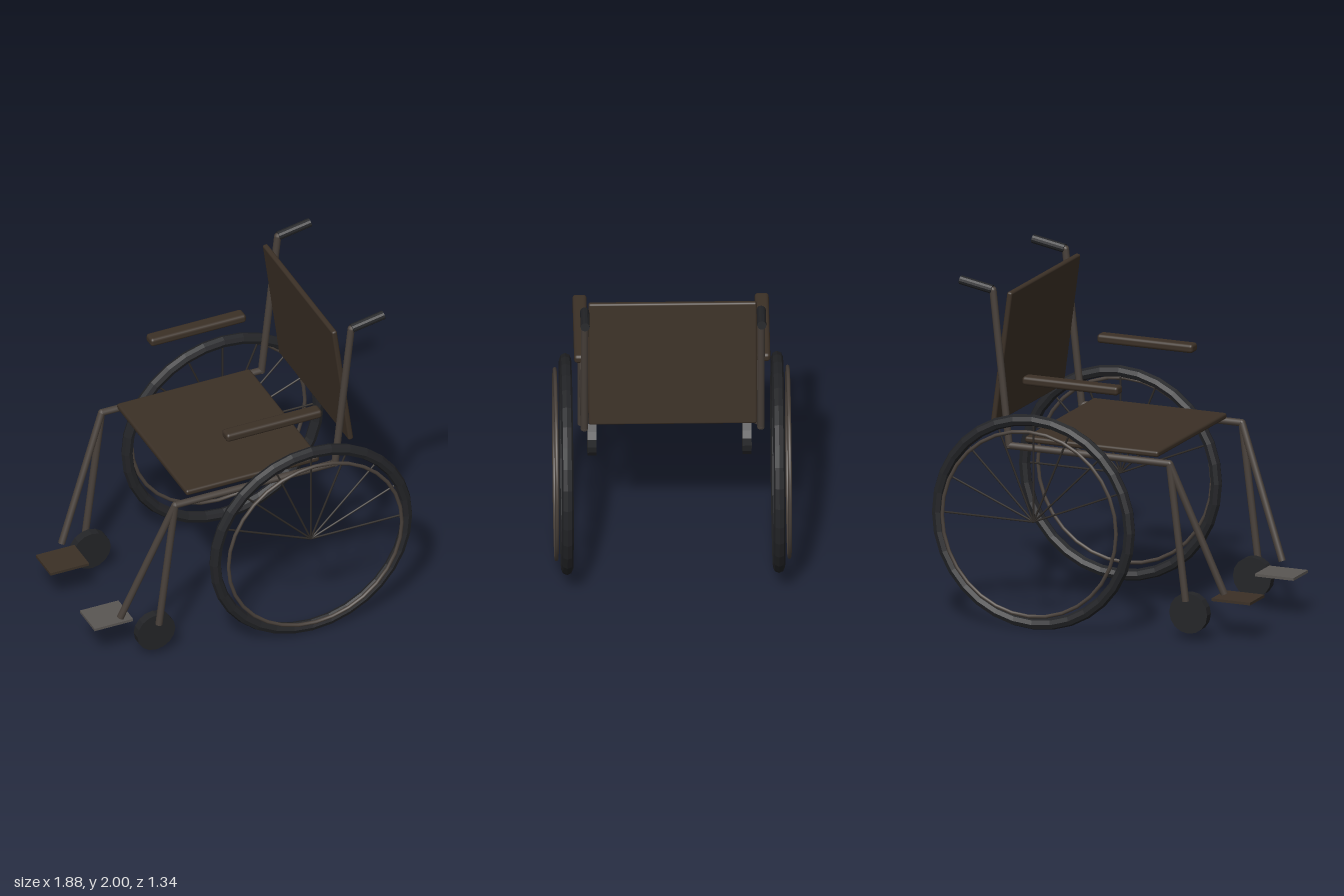
import * as THREE from 'three';
import { RoundedBoxGeometry } from 'three/addons/geometries/RoundedBoxGeometry.js';

const mat = (name, color, flatShading = false) => {
  const m = new THREE.MeshStandardMaterial({ color, flatShading });
  m.name = name;
  return m;
};

export function createModel() {
  const model = new THREE.Group();
  model.name = 'wheelchair';

  const rubber = mat('blackRubber', 0x232427, true);
  const fabric = mat('brownUpholstery', 0x3b3026);
  const steel = mat('agedSteel', 0x48403a);
  const plateSteel = mat('greySteel', 0x5a5653);
  const spokeSteel = mat('darkSpoke', 0x2e2a27);

  const add = (parent, name, geometry, material, x = 0, y = 0, z = 0) => {
    const mesh = new THREE.Mesh(geometry, material);
    mesh.name = name;
    mesh.position.set(x, y, z);
    parent.add(mesh);
    return mesh;
  };

  // Straight round bar between two points
  const bar = (parent, name, a, b, r, material, sides = 10) => {
    const p = new THREE.Vector3(...a), q = new THREE.Vector3(...b);
    const dir = q.clone().sub(p);
    const mesh = add(parent, name, new THREE.CylinderGeometry(r, r, dir.length(), sides), material);
    mesh.position.copy(p).add(q).multiplyScalar(0.5);
    mesh.quaternion.setFromUnitVectors(new THREE.Vector3(0, 1, 0), dir.normalize());
    return mesh;
  };

  // Seat and tilted backrest panels
  add(model, 'seat', new RoundedBoxGeometry(0.83, 0.036, 0.955, 2, 0.014), fabric, 0.007, 1.073, 0);
  const back = add(model, 'backrest', new RoundedBoxGeometry(0.032, 0.785, 0.955, 2, 0.012), fabric, 0.567, 1.535, 0);
  back.rotation.z = 0.133;

  for (const s of [1, -1]) {
    const side = new THREE.Group();
    side.name = s > 0 ? 'frontSide' : 'rearSide';
    model.add(side);
    const z = 0.5 * s;

    // Frame tubes
    bar(side, 'seatRail', [-0.49, 1.035, z], [0.51, 1.035, z], 0.021, steel);
    bar(side, 'backPost', [0.505, 1.025, z], [0.607, 1.935, z], 0.021, steel);
    bar(side, 'casterLeg', [-0.49, 1.035, z], [-0.59, 0.24, z], 0.021, steel);
    bar(side, 'footrestHanger', [-0.49, 1.035, z], [-0.785, 0.28, 0.4 * s], 0.021, steel);
    for (const [x, y] of [[-0.49, 1.035], [0.507, 1.035], [0.607, 1.935]])
      add(side, 'tubeElbow', new THREE.SphereGeometry(0.021, 10, 6), steel, x, y, z);

    // Push handle, armrest and footplate
    bar(side, 'handleGrip', [0.61, 1.937, z], [0.808, 1.973, z], 0.026, rubber, 12);
    add(side, 'armrest', new RoundedBoxGeometry(0.595, 0.052, 0.08, 2, 0.018), fabric, 0.107, 1.436, 0.516 * s);
    add(side, 'footplate', new THREE.BoxGeometry(0.24, 0.016, 0.2), s > 0 ? plateSteel : fabric, -0.825, 0.238, 0.3 * s);

    // Caster wheel
    const caster = add(side, 'casterWheel', new THREE.CylinderGeometry(0.118, 0.118, 0.052, 16), rubber, -0.59, 0.16, 0.439 * s);
    caster.rotation.x = Math.PI / 2;

    // Drive wheel: tyre, outboard hand rim and a half fan of spokes
    const wheel = new THREE.Group();
    wheel.name = 'driveWheel';
    wheel.position.set(0.31, 0.632, 0.6 * s);
    side.add(wheel);
    add(wheel, 'tyre', new THREE.TorusGeometry(0.596, 0.034, 8, 32), rubber);
    add(wheel, 'handRim', new THREE.TorusGeometry(0.54, 0.011, 8, 32), steel, 0, 0, 0.06 * s);
    for (let i = 0; i < 8; i++) {
      const a = i * Math.PI / 8;
      bar(wheel, 'spoke', [0, 0, 0], [0.56 * Math.cos(a), 0.56 * Math.sin(a), 0], 0.006, spokeSteel, 6);
    }
  }
  return model;
}
